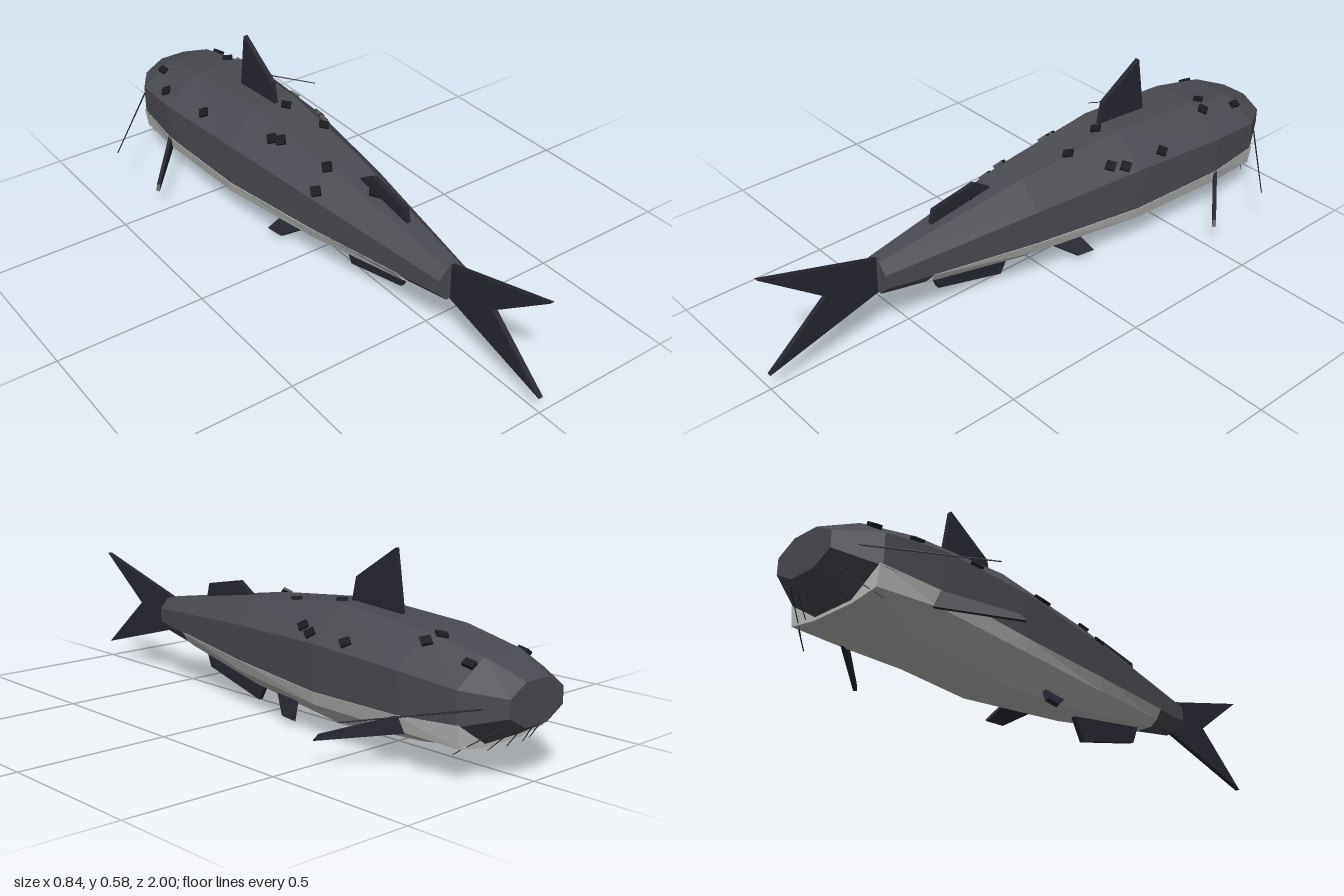
import * as THREE from 'three';

const mat = (name, color) => Object.assign(new THREE.MeshStandardMaterial({ color }), { name });

// Closed, flat-faced solid through rings of [x, y] points (counterclockwise seen from +z)
function loft(stations) {
  const pos = [];
  const tri = (...pts) => pts.forEach(p => pos.push(...p));
  const rings = stations.map(s => s.ring.map(([x, y]) => [x, y, s.z]));
  const n = rings[0].length;
  for (let i = 0; i < rings.length - 1; i++) {
    for (let j = 0; j < n; j++) {
      const k = (j + 1) % n;
      const a = rings[i][j], b = rings[i][k], c = rings[i + 1][k], d = rings[i + 1][j];
      tri(a, b, c);
      tri(a, c, d);
    }
  }
  const first = rings[0], last = rings[rings.length - 1];
  for (let j = 1; j < n - 1; j++) {
    tri(first[0], first[j + 1], first[j]);
    tri(last[0], last[j], last[j + 1]);
  }
  const geo = new THREE.BufferGeometry();
  geo.setAttribute('position', new THREE.Float32BufferAttribute(pos, 3));
  geo.computeVertexNormals();
  return geo;
}

// Flat plate from an outline, centred on its thickness
function plate(points, thickness) {
  const shape = new THREE.Shape(points.map(([a, b]) => new THREE.Vector2(a, b)));
  return new THREE.ExtrudeGeometry(shape, { depth: thickness, bevelEnabled: false })
    .translate(0, 0, -thickness / 2);
}

// Body stations: z, centre height, half width, half height
const BODY = [
  [-1, 0.222, 0.115, 0.063],
  [-0.88, 0.213, 0.19, 0.123],
  [-0.68, 0.218, 0.207, 0.158],
  [-0.32, 0.218, 0.185, 0.183],
  [0.08, 0.22, 0.135, 0.145],
  [0.61, 0.222, 0.053, 0.058],
];
const K = Math.tan(Math.PI / 8);

// Point and outward normal on the upper body at x, z
function onBack(x, z) {
  let i = 0;
  while (i < BODY.length - 2 && z > BODY[i + 1][0]) i++;
  const t = (z - BODY[i][0]) / (BODY[i + 1][0] - BODY[i][0]);
  const [, cy, w, h] = BODY[i].map((v, k) => THREE.MathUtils.lerp(v, BODY[i + 1][k], t));
  const over = Math.max(0, Math.abs(x) - w * K);
  const point = new THREE.Vector3(x, cy + h - over * h / w, z);
  const slope = -(BODY[i + 1][1] + BODY[i + 1][3] - BODY[i][1] - BODY[i][3]) / (BODY[i + 1][0] - BODY[i][0]);
  const normal = new THREE.Vector3(over > 0 ? Math.sign(x) * h / w : 0, 1, slope).normalize();
  return { point, normal };
}

export function createModel() {
  const skin = mat('dark grey skin', 0x4a4a52);
  const pale = mat('pale belly', 0xb9bbb7);
  const finMat = mat('blackish fin', 0x262632);
  const dark = mat('black marking', 0x1b1b20);
  const model = new THREE.Group();
  model.name = 'fish';
  const add = (name, geo, material) => {
    const mesh = new THREE.Mesh(geo, material);
    mesh.name = name;
    model.add(mesh);
    return mesh;
  };

  // Eight-sided body
  add('body', loft(BODY.map(([z, cy, w, h]) => ({
    z,
    ring: [[1, -K], [1, K], [K, 1], [-K, 1], [-1, K], [-1, -K], [-K, -1], [K, -1]]
      .map(([x, y]) => [x * w, cy + y * h]),
  }))), skin);

  // Pale belly shell: z, then three corners of one side from top to bottom
  const belly = [
    [-0.89, [0.19, 0.168], [0.18, 0.1], [0.08, 0.085]],
    [-0.68, [0.209, 0.157], [0.198, 0.11], [0.088, 0.057]],
    [-0.32, [0.188, 0.148], [0.178, 0.107], [0.079, 0.033]],
    [0.08, [0.138, 0.165], [0.124, 0.125], [0.058, 0.072]],
    [0.45, [0.08, 0.188], [0.06, 0.156], [0.035, 0.136]],
  ];
  add('belly', loft(belly.map(([z, a, b, c]) => ({
    z,
    ring: [c, b, a, ...[a, b, c].map(([x, y]) => [-x, y])],
  }))), pale);

  // Upright fins on the centre line, outlines as [z, y]
  const upright = {
    tailFin: [[0.6, 0.165], [1, 0.055], [0.79, 0.235], [1, 0.395], [0.6, 0.28]],
    dorsalFin: [[-0.3, 0.38], [-0.32, 0.475], [-0.48, 0.58], [-0.51, 0.38]],
    rearDorsalFin: [[0.41, 0.28], [0.39, 0.36], [0.23, 0.39], [0.15, 0.34]],
    analFin: [[0.41, 0.13], [0.385, 0.067], [0.13, 0], [0.08, 0.09]],
  };
  for (const [name, outline] of Object.entries(upright)) {
    add(name, plate(outline, 0.016).rotateY(-Math.PI / 2), finMat);
  }

  for (const side of [1, -1]) {
    const label = side > 0 ? 'left' : 'right';

    // Pectoral fins swept out and back
    const pectoral = add(label + 'PectoralFin',
      plate([[-0.03, 0.17], [-0.03, 0.11], [0.255, 0.077], [0.24, 0.095], [0, 0.162]], 0.012), finMat);
    pectoral.position.set(side * 0.19, 0, -0.7);
    pectoral.rotation.y = side > 0 ? -0.84 : -Math.PI + 0.84;

    // Pelvic fins splayed below the belly
    const pelvic = add(label + 'PelvicFin',
      plate([[0.07, 0.015], [-0.02, -0.055], [-0.08, -0.055], [-0.04, 0.015]], 0.014)
        .rotateY(-Math.PI / 2), finMat);
    pelvic.position.set(side * 0.085, 0.062, -0.1);
    pelvic.rotation.set(0, -side * 0.15, side * 0.6);

    // Eyes
    const { point, normal } = onBack(side * 0.115, -0.86);
    const eye = add(label + 'Eye', new THREE.BoxGeometry(0.024, 0.016, 0.036), dark);
    eye.position.copy(point).addScaledVector(normal, 0.004);
    eye.quaternion.setFromUnitVectors(new THREE.Vector3(0, 1, 0), normal);

    // Barbels: start and tip on the left side
    const barbels = [
      [[0.1, 0.225, -0.99], [0.42, 0.175, -0.67], 0.003],
      [[0.09, 0.165, -0.97], [0.175, 0.08, -0.86], 0.002],
      [[0.055, 0.16, -0.98], [0.09, 0.085, -0.91], 0.002],
      [[0.025, 0.16, -0.98], [0.035, 0.09, -0.93], 0.002],
    ];
    for (const [from, to, radius] of barbels) {
      const a = new THREE.Vector3(...from), b = new THREE.Vector3(...to);
      a.x *= side;
      b.x *= side;
      const dir = b.clone().sub(a);
      const barbel = add(label + 'Barbel', new THREE.CylinderGeometry(radius * 0.6, radius, dir.length(), 5), finMat);
      barbel.position.copy(a).add(b).multiplyScalar(0.5);
      barbel.quaternion.setFromUnitVectors(new THREE.Vector3(0, 1, 0), dir.normalize());
    }
  }

  // Diamond spots lying on the back, as [x, z]
  const spots = [
    [-0.17, -0.75], [0.07, -0.72], [0.11, -0.7], [-0.16, -0.51], [0.167, -0.44],
    [0.158, -0.28], [0.138, -0.23], [0.02, -0.275], [0.06, -0.115], [-0.1, -0.18],
    [-0.088, -0.145], [-0.115, 0.085], [-0.06, 0.07], [-0.01, 0.245],
  ];
  const spotGeo = plate([[0.021, 0], [0, 0.026], [-0.021, 0], [0, -0.026]], 0.009).rotateX(-Math.PI / 2);
  for (const [x, z] of spots) {
    const { point, normal } = onBack(x, z);
    const spot = add('spot', spotGeo, dark);
    spot.position.copy(point).addScaledVector(normal, 0.004);
    spot.quaternion.setFromUnitVectors(new THREE.Vector3(0, 1, 0), normal);
  }
  return model;
}
